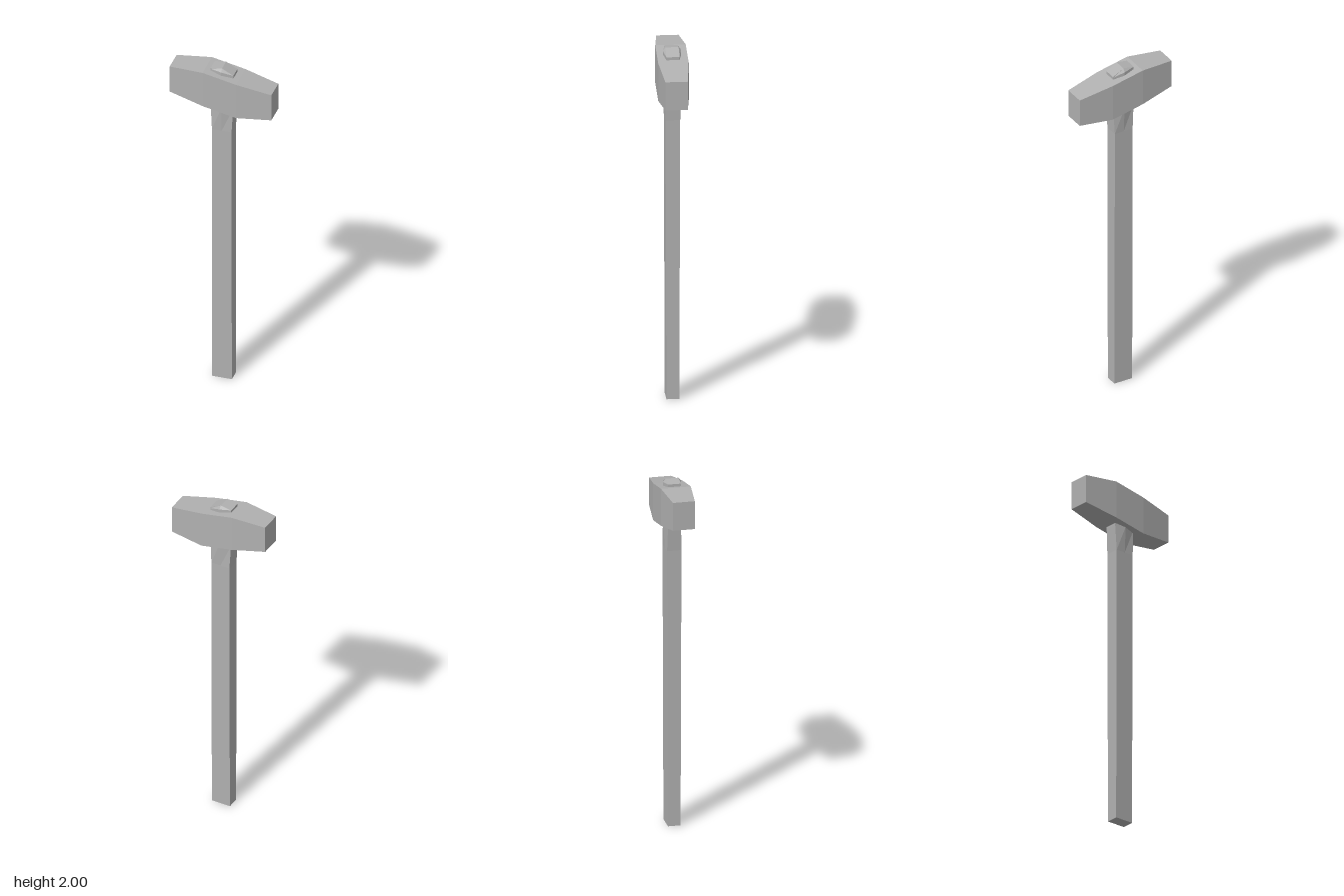
import * as THREE from 'three';

// Faceted solid through a list of rings, counter-clockwise seen from the last one.
function loft(rings) {
  const pos = [];
  const quad = (a, b, c, d) => [a, b, c, a, c, d].forEach((p) => pos.push(...p));
  const n = rings[0].length;
  for (let r = 0; r < rings.length - 1; r++) {
    for (let i = 0; i < n; i++) {
      const j = (i + 1) % n;
      quad(rings[r][i], rings[r][j], rings[r + 1][j], rings[r + 1][i]);
    }
  }
  // end caps, split into strips of quads
  const first = rings[0], last = rings[rings.length - 1];
  for (let i = 0; i < n / 2 - 1; i++) {
    quad(last[i], last[i + 1], last[n - 2 - i], last[n - 1 - i]);
    quad(first[n - 1 - i], first[n - 2 - i], first[i + 1], first[i]);
  }
  const g = new THREE.BufferGeometry();
  g.setAttribute('position', new THREE.Float32BufferAttribute(pos, 3));
  g.computeVertexNormals();
  return g;
}

// Six-sided handle section: half width, corner depth, middle depth, heights at left, middle, right.
const handleRing = (x, zc, zm, yl, ym = yl, yr = yl) => [
  [-x, yl, zc], [0, ym, zm], [x, yr, zc],
  [x, yr, -zc], [0, ym, -zm], [-x, yl, -zc],
];

// Four-sided head section at x.
const headRing = (x, bottom, top, z) => [
  [x, top, z], [x, bottom, z], [x, bottom, -z], [x, top, -z],
];

export function createModel() {
  const model = new THREE.Group();
  model.name = 'hammer';
  const grey = new THREE.MeshStandardMaterial({ color: 0xb0b0b0 });
  grey.name = 'grey';

  const add = (name, rings) => {
    const mesh = new THREE.Mesh(loft(rings), grey);
    mesh.name = name;
    model.add(mesh);
  };

  // shaft flares below the head and pokes out through its top
  add('handle', [
    handleRing(0.056, 0.035, 0.035, 0),
    handleRing(0.056, 0.04, 0.04, 1.6),
    handleRing(0.064, 0.036, 0.049, 1.75),
    handleRing(0.065, 0.036, 0.05, 1.985, 1.982, 1.96),
    handleRing(0.065, 0.036, 0.036, 1.99, 2.0, 1.965),
  ]);

  // slanted head, tapering to both striking faces
  add('head', [
    headRing(-0.29, 1.808, 1.97, 0.061),
    headRing(-0.095, 1.766, 1.981, 0.083),
    headRing(0.095, 1.727, 1.942, 0.083),
    headRing(0.29, 1.738, 1.9, 0.061),
  ]);
  return model;
}
